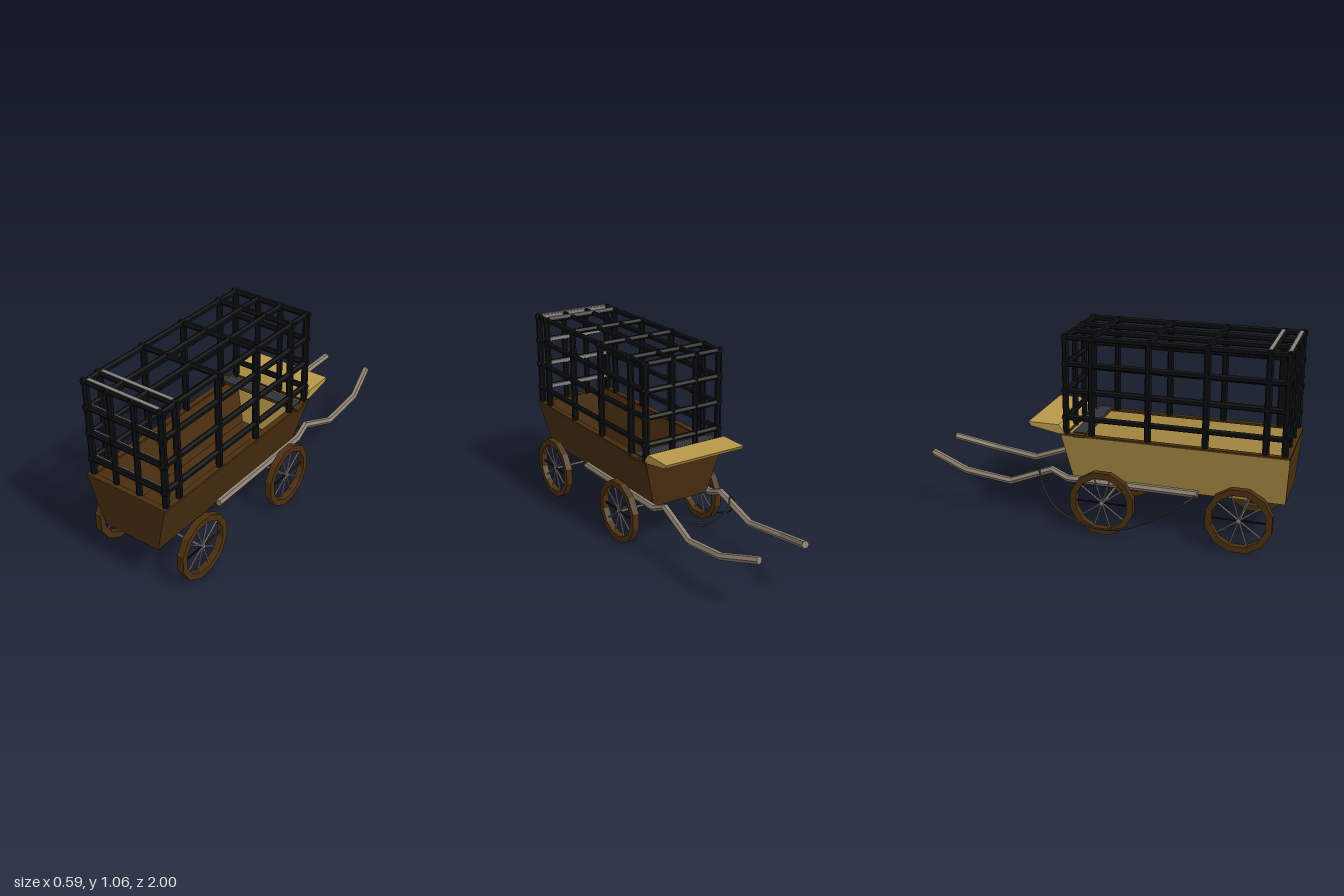
import * as THREE from 'three';

const mat = (name, color, side = THREE.FrontSide) => {
  const m = new THREE.MeshStandardMaterial({ color, side, flatShading: true });
  m.name = name;
  return m;
};

// Straight-segment path, so tubes keep crisp bends at every point
class Polyline extends THREE.Curve {
  constructor(points) {
    super();
    this.points = points.map(p => new THREE.Vector3(...p));
  }
  getPoint(t, target = new THREE.Vector3()) {
    const n = this.points.length - 1;
    const i = Math.min(Math.floor(t * n + 1e-9), n - 1);
    return target.lerpVectors(this.points[i], this.points[i + 1], t * n - i);
  }
  getPointAt(t, target) { return this.getPoint(t, target); }
  getTangentAt(t, target) { return this.getTangent(t, target); }
}

export function createModel() {
  const model = new THREE.Group();
  model.name = 'cagedCart';
  const brown = mat('dark wood', 0x4a2f10);
  const tan = mat('light wood', 0xb8984a);
  const black = mat('black iron', 0x0c0d0f);
  const steel = mat('grey steel', 0x85827e);
  const pole = mat('weathered wood', 0x8c8070);
  const slate = mat('slate', 0x30333a);
  const cord = mat('cord', 0x3c3a38);

  const add = (name, geometry, material, parent = model) => {
    const mesh = new THREE.Mesh(geometry, material);
    mesh.name = name;
    parent.add(mesh);
    return mesh;
  };
  const group = name => {
    const g = new THREE.Group();
    g.name = name;
    model.add(g);
    return g;
  };
  const box = (name, x0, x1, y0, y1, z0, z1, material, parent) =>
    add(name, new THREE.BoxGeometry(x1 - x0, y1 - y0, z1 - z0), material, parent)
      .position.set((x0 + x1) / 2, (y0 + y1) / 2, (z0 + z1) / 2);
  // Round bar between two points
  const bar = (name, a, b, r, material, parent, sides = 6) => {
    const p = new THREE.Vector3(...a), q = new THREE.Vector3(...b);
    const mesh = add(name, new THREE.CylinderGeometry(r, r, p.distanceTo(q), sides), material, parent);
    mesh.position.copy(p).add(q).multiplyScalar(0.5);
    mesh.quaternion.setFromUnitVectors(new THREE.Vector3(0, 1, 0), q.sub(p).normalize());
  };
  const quad = (name, corners, material, parent) => {
    const g = new THREE.BufferGeometry();
    g.setAttribute('position', new THREE.Float32BufferAttribute(corners.flat(), 3));
    g.setIndex([0, 1, 2, 0, 2, 3]);
    g.computeVertexNormals();
    add(name, g, material, parent);
  };

  // Tapered open body: outer and inner skins
  const body = group('body');
  const ring = (x0, x1, z0, z1, y) => [[x0, y, z1], [x1, y, z1], [x1, y, z0], [x0, y, z0]];
  const walls = ['front', 'left', 'back', 'right'];
  const skin = (label, low, high, colours, inward) => {
    walls.forEach((w, i) => {
      const j = (i + 1) % 4;
      const c = [low[i], low[j], high[j], high[i]];
      quad(`${w}${label}Wall`, inward ? c.reverse() : c, colours[i], body);
    });
    quad(`${label}Floor`, inward ? low : [...low].reverse(), brown, body);
  };
  skin('Outer', ring(-0.16, 0.18, -0.15, 0.98, 0.25), ring(-0.235, 0.253, -0.195, 1, 0.527),
    [brown, brown, brown, tan], false);
  skin('Inner', ring(-0.148, 0.168, -0.138, 0.968, 0.258), ring(-0.223, 0.241, -0.183, 0.988, 0.527),
    [brown, tan, tan, brown], true);

  // Rim and the planks crossing the rear of the bed
  for (const [x0, x1] of [[-0.236, -0.205], [0.223, 0.254]]) {
    box('sideRim', x0, x1, 0.52, 0.531, -0.195, 1, brown, body);
  }
  box('frontRim', -0.235, 0.253, 0.52, 0.531, 0.97, 1, brown, body);
  box('backRim', -0.235, 0.253, 0.52, 0.531, -0.195, -0.165, brown, body);
  box('crossPlank', -0.25, 0.27, 0.523, 0.537, -0.12, -0.06, brown, body);
  box('plankTop', -0.22, 0.24, 0.537, 0.542, -0.13, -0.06, slate, body);

  // Bench overhanging the back
  const bench = new THREE.Shape([[0.165, 0.52], [0.36, 0.555], [0.375, 0.577], [0.205, 0.577]]
    .map(p => new THREE.Vector2(...p)));
  const benchGeo = new THREE.ExtrudeGeometry(bench, { depth: 0.484, bevelEnabled: false });
  benchGeo.rotateY(Math.PI / 2).translate(-0.234, 0, 0);
  add('bench', benchGeo, tan);

  // Cage
  const cage = group('cage');
  const xs = [-0.214, -0.068, 0.076, 0.238];
  const zs = [0.97, 0.875, 0.57, 0.27, -0.03, -0.17];
  const ys = [0.617, 0.762, 0.905, 1.045];
  const [xa, xb, za, zb] = [-0.234, 0.257, -0.187, 0.99];
  const top = 1.045, r = 0.016;
  for (const x of [xs[0], xs[3]]) {
    for (const z of zs) bar('sidePost', [x, 0.525, z], [x, 1.058, z], 0.018, black, cage);
    for (const y of ys) bar('sideRail', [x, y, za], [x, y, zb], r, black, cage);
  }
  for (const z of [zs[0], zs[5]]) {
    for (const x of xs.slice(1, 3)) bar('endPost', [x, 0.525, z], [x, 1.058, z], r, black, cage);
    for (const y of ys) bar('endRail', [xa, y, z], [xb, y, z], r, black, cage);
  }
  for (const x of xs.slice(1, 3)) bar('roofRail', [x, top, za], [x, top, zb], r, black, cage);
  for (const z of zs.slice(1, 5)) bar('roofBar', [xa, top, z], [xb, top, z], r, black, cage);
  // Bright strips on the inner side of the front bars
  for (const y of ys) box('railStrip', -0.2, 0.222, y - 0.009, y + 0.012, 0.951, 0.958, steel, cage);
  for (const z of [0.97, 0.875]) box('roofStrip', -0.2, 0.222, 1.055, 1.062, z - 0.014, z + 0.006, steel, cage);

  // Wheels: twelve-sided rims with thin spokes, joined by axles
  const rim = new THREE.Shape();
  const hole = new THREE.Path();
  for (let i = 0; i < 12; i++) {
    const a = i * Math.PI / 6 + Math.PI / 12, c = Math.cos(a), s = Math.sin(a);
    rim[i ? 'lineTo' : 'moveTo'](0.177 * c, 0.177 * s);
    hole[i ? 'lineTo' : 'moveTo'](0.143 * c, 0.143 * s);
  }
  rim.closePath();
  hole.closePath();
  rim.holes.push(hole);
  const rimGeo = new THREE.ExtrudeGeometry(rim, { depth: 0.037, bevelEnabled: false });
  rimGeo.translate(0, 0, -0.0185).rotateY(Math.PI / 2);
  for (const z of [0.765, 0.04]) {
    for (const x of [-0.2575, 0.2775]) {
      const wheel = group('wheel');
      wheel.position.set(x, 0.177, z);
      add('wheelRim', rimGeo, brown, wheel);
      for (let i = 0; i < 10; i++) {
        const a = i * Math.PI / 5;
        bar('spoke', [0, 0, 0], [0, 0.148 * Math.sin(a), 0.148 * Math.cos(a)], 0.005,
          i % 5 ? steel : black, wheel, 5);
      }
      bar('hub', [-0.01, 0, 0], [0.01, 0, 0], 0.012, steel, wheel, 8);
    }
    bar('axle', [-0.262, 0.172, z], [0.282, 0.172, z], 0.007, steel, model);
  }

  // Bent pulling poles, mirrored about the body centre
  const path = [[0.185, 0.255, 0.53], [0.185, 0.257, -0.18], [0.178, 0.295, -0.27],
    [0.19, 0.203, -0.51], [0.193, 0.235, -0.77], [0.14, 0.297, -0.995]];
  for (const s of [-1, 1]) {
    const pts = path.map(([x, y, z]) => [0.01 + s * x, y, z]);
    add('pullingPole', new THREE.TubeGeometry(new Polyline(pts), pts.length - 1, 0.02, 6), pole);
    for (const [i, k] of [[0, 1], [5, 4]]) {
      const p = new THREE.Vector3(...pts[i]), q = new THREE.Vector3(...pts[k]);
      const cap = add('poleEnd', new THREE.CircleGeometry(0.02, 6), pole);
      cap.position.copy(p);
      cap.lookAt(p.clone().multiplyScalar(2).sub(q));
    }
  }

  // Slack rope along one side, then hanging between the poles
  const rope = [[-0.19, 0.25, 0.52], [-0.25, 0.23, 0.48], [-0.28, 0.065, 0.2], [-0.292, 0.045, 0],
    [-0.285, 0.12, -0.2], [-0.24, 0.23, -0.3], [-0.17, 0.295, -0.35], [-0.13, 0.25, -0.39],
    [-0.03, 0.167, -0.35], [0.06, 0.19, -0.33], [0.17, 0.27, -0.29]];
  const curve = new THREE.CatmullRomCurve3(rope.map(p => new THREE.Vector3(...p)));
  add('rope', new THREE.TubeGeometry(curve, 40, 0.005, 5), cord);

  return model;
}
